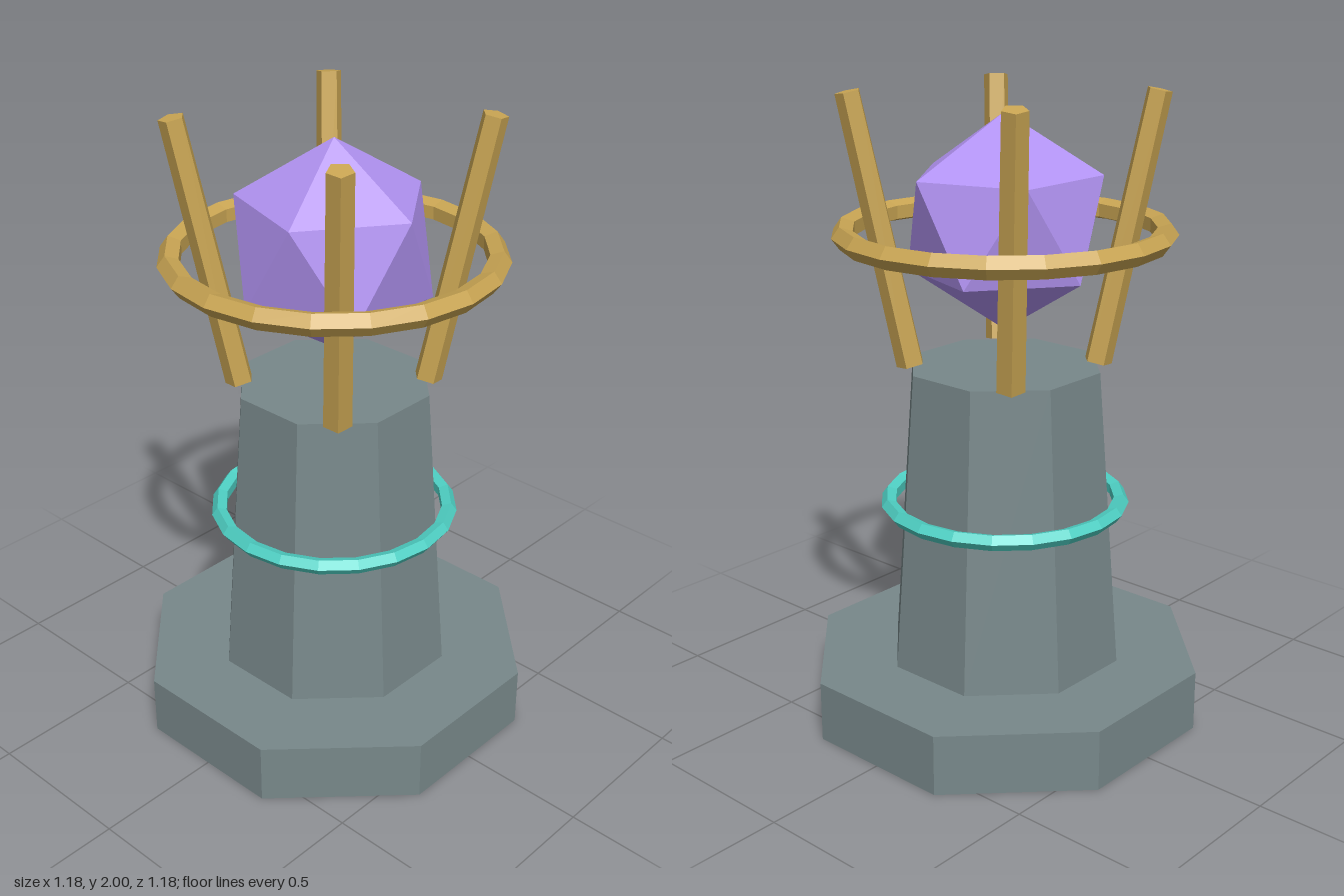
import * as THREE from 'three';

const paint = (color) => new THREE.MeshStandardMaterial({ color, flatShading: true });

export function createModel() {
  const model = new THREE.Group();
  model.name = 'crystalPedestal';
  const stone = paint(0x78888a);
  const gold = paint(0xc9a553);
  const teal = paint(0x4fd1c5);
  const violet = paint(0xb394f4);

  const add = (name, geometry, material, y) => {
    const mesh = new THREE.Mesh(geometry, material);
    mesh.name = name;
    mesh.position.y = y;
    model.add(mesh);
    return mesh;
  };

  // Octagonal stonework with flat sides facing the axes
  const octagon = (top, bottom, height) =>
    new THREE.CylinderGeometry(top, bottom, height, 8).rotateY(Math.PI / 8);
  add('base', octagon(0.64, 0.64, 0.195), stone, 0.0975);
  add('column', octagon(0.308, 0.381, 0.96), stone, 0.675);

  // Horizontal rings with a five-sided section
  const ring = (radius, tube) =>
    new THREE.TorusGeometry(radius, tube, 5, 20).rotateX(Math.PI / 2);
  add('columnRing', ring(0.369, 0.026), teal, 0.71);
  add('crystalRing', ring(0.489, 0.036), gold, 1.571);

  // Crystal: icosahedron turned to stand on a corner
  const golden = (1 + Math.sqrt(5)) / 2;
  const gem = new THREE.IcosahedronGeometry(0.332, 0).rotateZ(-Math.atan(1 / golden));
  add('crystal', gem, violet, 1.598);

  // Four prongs leaning outward at the diagonals
  const prong = new THREE.CylinderGeometry(0.04, 0.045, 0.85, 5)
    .rotateX(0.2)
    .translate(0, 0, 0.3745);
  for (let i = 0; i < 4; i++) {
    add('prong', prong, gold, 1.575).rotation.y = Math.PI / 4 + (i * Math.PI) / 2;
  }

  return model;
}
